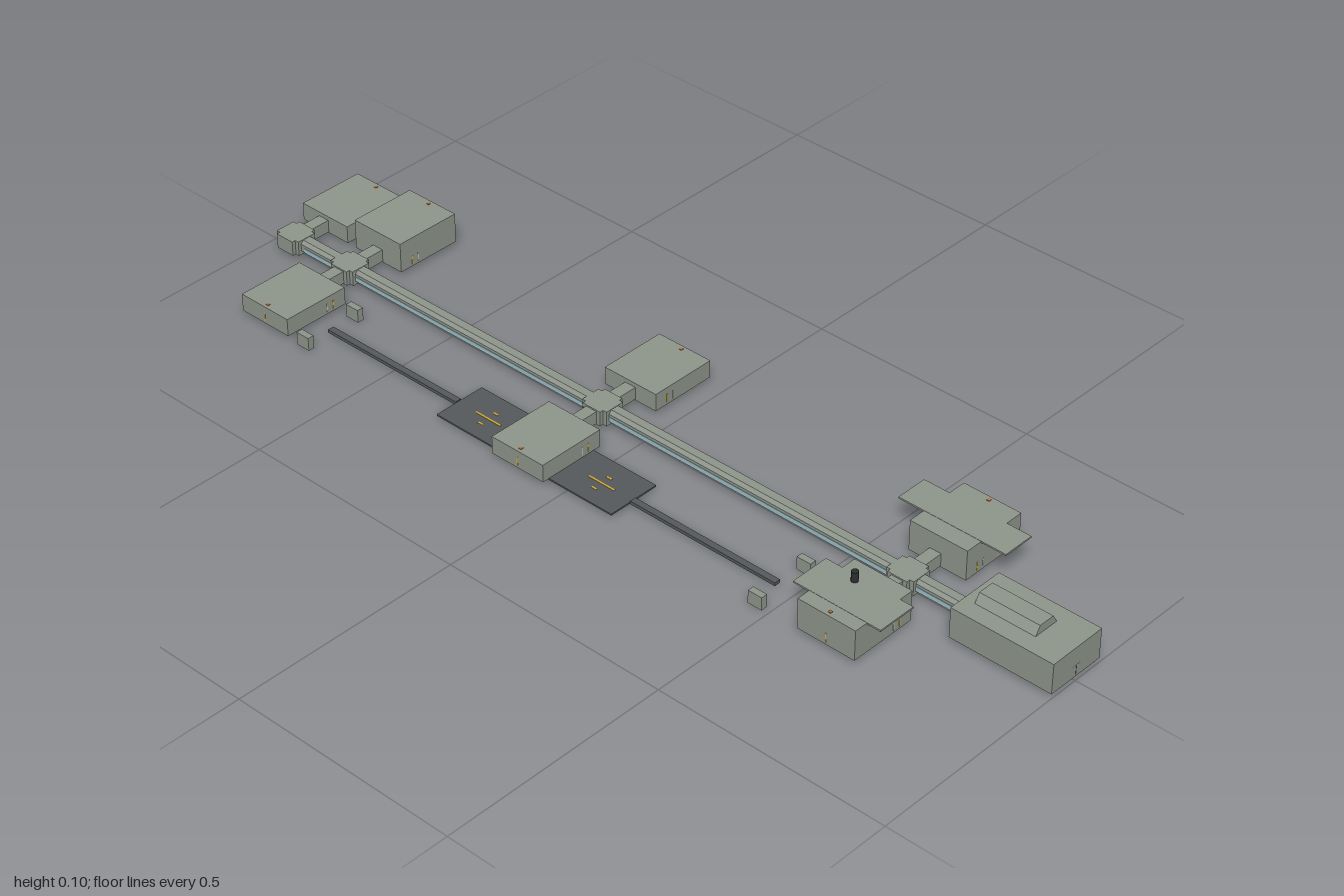
import * as THREE from 'three';

const mat = (color) => new THREE.MeshStandardMaterial({ color, flatShading: true, side: THREE.DoubleSide });

export function createModel() {
  const root = new THREE.Group();
  const hull = mat(0x8f968c), dark = mat(0x555a5c), black = mat(0x2b2d2f);
  const blue = mat(0x9fc0c8), yellow = mat(0xd9b030), orange = mat(0xc0703a), pale = mat(0xb9bdb6);

  // Box given by its lower and upper limits on each axis
  function box(name, m, x0, x1, y0, y1, z0, z1, parent = root) {
    const mesh = new THREE.Mesh(new THREE.BoxGeometry(x1 - x0, y1 - y0, z1 - z0), m);
    mesh.position.set((x0 + x1) / 2, (y0 + y1) / 2, (z0 + z1) / 2);
    mesh.name = name;
    parent.add(mesh);
    return mesh;
  }

  // Prism along z from an x/y outline
  function prism(name, m, pts, z0, z1, parent = root) {
    const shape = new THREE.Shape(pts.map(([x, y]) => new THREE.Vector2(x, y)));
    const mesh = new THREE.Mesh(new THREE.ExtrudeGeometry(shape, { depth: z1 - z0, bevelEnabled: false }), m);
    mesh.position.z = z0;
    mesh.name = name;
    parent.add(mesh);
    return mesh;
  }

  // Long central passage with window bands on both sides
  prism('mainPassage', hull, [[-0.009, 0.012], [0.009, 0.012], [0.015, 0.018], [0.015, 0.034],
    [0.009, 0.041], [-0.009, 0.041], [-0.015, 0.034], [-0.015, 0.018]], -0.93, 0.78);
  for (const s of [-1, 1])
    box('passageWindowBand', blue, s * 0.0152 - 0.0006, s * 0.0152 + 0.0006, 0.018, 0.028, -0.90, 0.77);

  // Crossing hubs, with side corridors to the modules
  const hubs = [[0.63, [-1, 1]], [-0.105, [-1, 1]], [-0.785, [-1, 1]], [-0.94, [1]]];
  for (const [z, sides] of hubs) {
    const hub = new THREE.Group();
    hub.name = 'hub';
    hub.position.z = z;
    root.add(hub);
    box('hubCore', hull, -0.03, 0.03, 0.01, 0.042, -0.022, 0.022, hub);
    box('hubCollar', hull, -0.022, 0.022, 0.01, 0.042, -0.031, 0.031, hub);
    for (const s of sides) {
      box('sideCorridor', hull, s > 0 ? 0.025 : -0.08, s > 0 ? 0.08 : -0.025, 0.012, 0.039, -0.013, 0.013, hub);
    }
  }

  // Side modules: side, z range, roof height
  const modules = [
    [-1, 0.57, 0.70, 0.075], [1, 0.57, 0.70, 0.075],
    [-1, -0.17, -0.04, 0.048], [1, -0.17, -0.04, 0.048],
    [-1, -0.848, -0.72, 0.048], [1, -0.848, -0.72, 0.075],
    [1, -1.0, -0.872, 0.048],
  ];
  for (const [s, z0, z1, h] of modules) {
    const g = new THREE.Group();
    g.name = 'sideModule';
    root.add(g);
    const zc = (z0 + z1) / 2;
    box('moduleBody', hull, s > 0 ? 0.075 : -0.225, s > 0 ? 0.225 : -0.075, 0.01, h, z0, z1, g);
    // Door strips on the end walls and a roof lamp near the outer edge
    for (const x of [0.106, 0.122]) {
      const m = x < 0.11 ? yellow : pale;
      if (z0 > -0.99) box('doorStrip', m, s * x - 0.0012, s * x + 0.0012, 0.015, 0.034, z0 - 0.0008, z1 + 0.0008, g)
        .scale.y = 0.95;
    }
    box('roofLamp', orange, s * 0.215 - 0.003, s * 0.215 + 0.003, h, h + 0.0015, zc - 0.003, zc + 0.003, g);
    box('outerDoor', yellow, s * 0.2252 - 0.0006, s * 0.2252 + 0.0006, 0.015, 0.034, zc - 0.001, zc + 0.001, g);
  }

  // Thin canopies projecting past the two front modules
  box('rightCanopy', hull, -0.195, -0.108, 0.072, 0.0755, 0.533, 0.73);
  box('leftCanopy', hull, 0.113, 0.184, 0.072, 0.0755, 0.512, 0.755);

  // Roof stack
  const stack = new THREE.Mesh(new THREE.CylinderGeometry(0.007, 0.007, 0.022, 12), black);
  stack.position.set(-0.122, 0.086, 0.61);
  stack.name = 'roofStack';
  root.add(stack);

  // Front hall with a raised tapering roof
  box('frontHall', hull, -0.066, 0.066, 0.01, 0.075, 0.777, 1.0);
  prism('raisedRoof', hull, [[-0.029, 0.075], [0.029, 0.075], [0.018, 0.093], [-0.018, 0.093]], 0.80, 0.932);
  box('frontDoor', pale, -0.009, 0.009, 0.033, 0.035, 0.999, 1.0005);
  box('frontDoorSeam', dark, -0.0007, 0.0007, 0.012, 0.033, 0.999, 1.0005);

  // Vehicle pad beneath the right middle module, with painted marks
  box('pad', dark, -0.21, -0.092, 0.007, 0.0105, -0.33, 0.116);
  for (const z of [-0.25, 0.04]) {
    box('padLine', yellow, -0.157, -0.153, 0.0105, 0.0112, z - 0.032, z + 0.032);
    for (const x of [-0.175, -0.135])
      box('padMark', yellow, x - 0.002, x + 0.002, 0.0105, 0.0112, z - 0.006, z + 0.006);
  }

  // Rails leading away from the pad, with a pair of posts at each end
  for (const [z0, z1] of [[-0.677, -0.33], [0.116, 0.463]])
    box('rail', dark, -0.161, -0.147, 0.006, 0.013, z0, z1);
  for (const z of [-0.682, 0.47])
    for (const x of [-0.215, -0.086])
      box('endPost', hull, x - 0.007, x + 0.007, 0, 0.028, z - 0.016, z + 0.016);

  return root;
}
